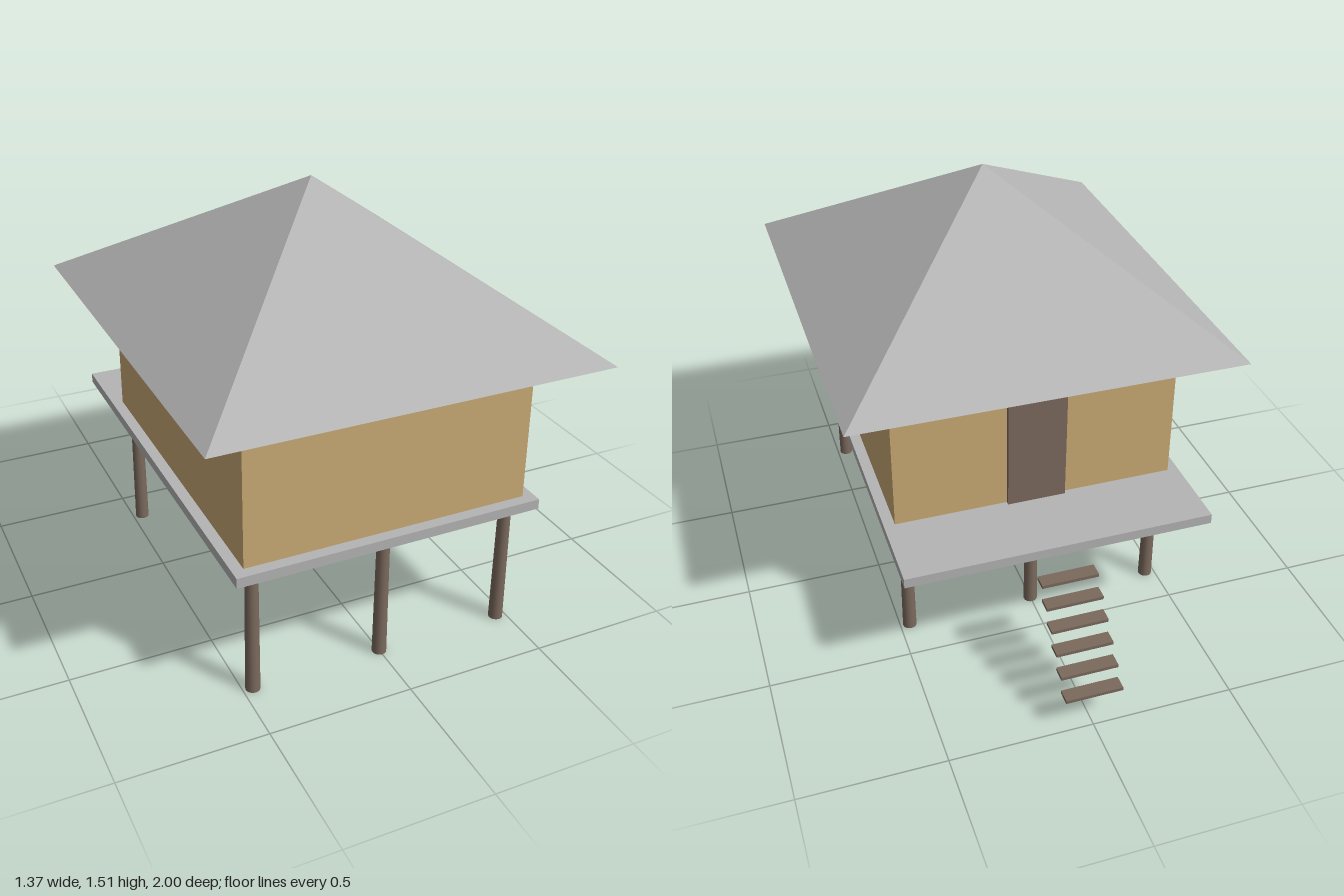
import * as THREE from 'three';

export function createModel() {
  const model = new THREE.Group();
  model.name = 'stiltHouse';

  const material = (name, color) => {
    const m = new THREE.MeshStandardMaterial({ color });
    m.name = name;
    return m;
  };
  const grey = material('grey sheeting', 0xb4b4b4);
  const tan = material('tan wall', 0xc9a974);
  const brown = material('brown timber', 0x7b6a5d);

  const add = (name, geometry, mat, x, y, z) => {
    const mesh = new THREE.Mesh(geometry, mat);
    mesh.name = name;
    mesh.position.set(x, y, z);
    model.add(mesh);
    return mesh;
  };
  // Box given by its width and its y and z extents, centred on x = 0
  const addBox = (name, mat, width, y0, y1, z0, z1) =>
    add(name, new THREE.BoxGeometry(width, y1 - y0, z1 - z0), mat, 0, (y0 + y1) / 2, (z0 + z1) / 2);

  // Deck, house body and back door
  addBox('platform', grey, 1.09, 0.467, 0.503, -0.67, 0.86);
  addBox('walls', tan, 1.012, 0.503, 1.027, -0.387, 0.82);
  addBox('door', brown, 0.21, 0.503, 0.925, -0.402, -0.387);

  // Four-sided pyramid roof with a closed underside
  const roof = new THREE.ConeGeometry(Math.SQRT1_2, 1, 4, 1)
    .rotateY(Math.PI / 4)
    .scale(1.37, 0.483, 1.57)
    .toNonIndexed();
  roof.computeVertexNormals();
  add('roof', roof, grey, 0, 1.027 + 0.483 / 2, 0.215);

  // Two rows of three slightly tapered stilts
  const stilt = new THREE.CylinderGeometry(0.022, 0.025, 0.467, 16);
  for (const z of [0.783, -0.35]) {
    for (const x of [-0.465, 0, 0.465]) add('stilt', stilt, brown, x, 0.2335, z);
  }

  // Floating treads leading down from the back of the deck
  const tread = new THREE.BoxGeometry(0.2, 0.012, 0.05);
  for (let i = 0; i < 6; i++) add('stairTread', tread, brown, 0, 0.416 - i * 0.0565, -0.725 - i * 0.05);

  return model;
}
